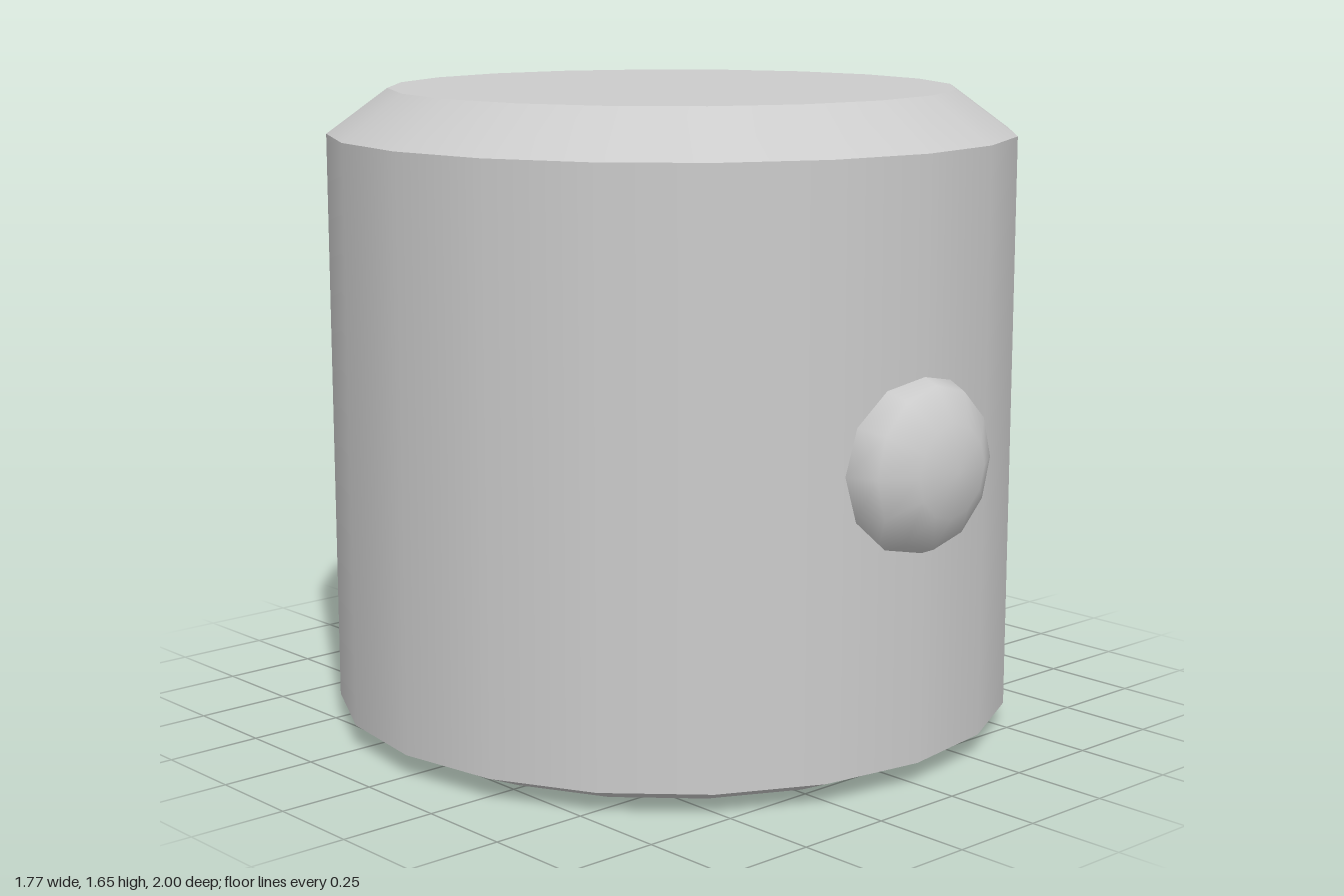
import * as THREE from 'three';

const SIDES = 20;
const RADIUS = 0.887;

export function createModel() {
  const model = new THREE.Group();
  const material = new THREE.MeshStandardMaterial({ color: 0xcccccc });

  const add = (name, geometry, y, z = 0) => {
    const mesh = new THREE.Mesh(geometry, material);
    mesh.name = name;
    mesh.position.set(0, y, z);
    model.add(mesh);
    return mesh;
  };

  // Open band of the body between two heights; separate bands keep the rims sharp
  const band = (name, bottomRadius, topRadius, y0, y1) =>
    add(name, new THREE.CylinderGeometry(topRadius, bottomRadius, y1 - y0, SIDES, 1, true), (y0 + y1) / 2);

  band('bottomBevel', 0.76, RADIUS, 0, 0.055);
  band('drumWall', RADIUS, RADIUS, 0.055, 1.54);
  band('topBevel', RADIUS, 0.73, 1.54, 1.655);

  // Flat caps, with corners lined up with the bands
  const cap = (radius, turn) =>
    new THREE.CircleGeometry(radius, SIDES).rotateX(turn);
  add('topCap', cap(0.73, -Math.PI / 2), 1.655);
  add('bottomCap', cap(0.76, Math.PI / 2), 0);

  // Flattened round studs on the front and back, poles pointing outward
  for (const [name, side] of [['frontStud', 1], ['backStud', -1]]) {
    const stud = new THREE.SphereGeometry(0.23, 12, 6).rotateX(side * Math.PI / 2).scale(1, 1, 0.65);
    add(name, stud, 0.797, side * 0.85);
  }

  return model;
}
